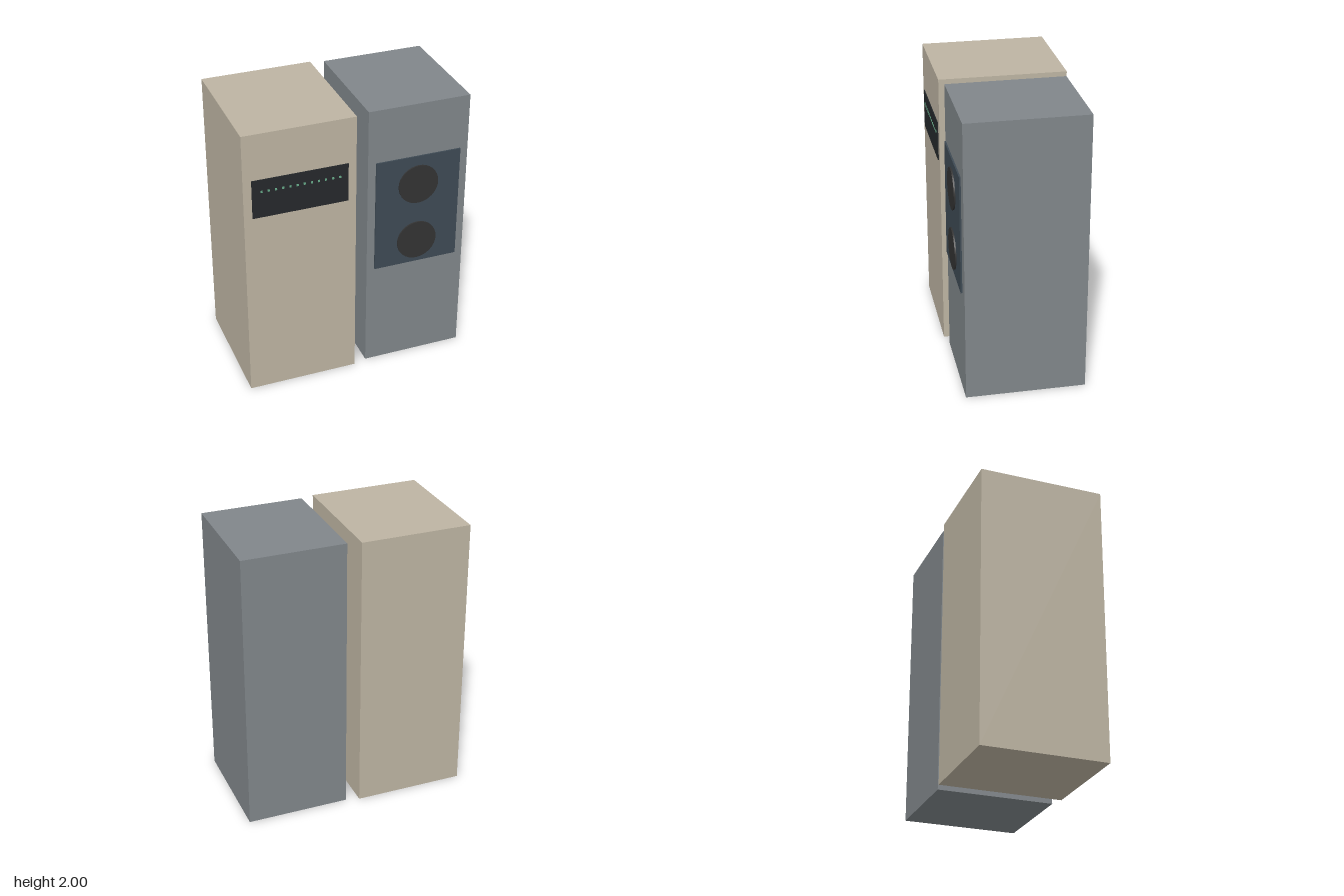
import * as THREE from 'three';

const mat = (color) => new THREE.MeshStandardMaterial({ color });

// Box given by its min and max on each axis
function box(name, material, [x0, x1], [y0, y1], [z0, z1]) {
  const mesh = new THREE.Mesh(new THREE.BoxGeometry(x1 - x0, y1 - y0, z1 - z0), material);
  mesh.position.set((x0 + x1) / 2, (y0 + y1) / 2, (z0 + z1) / 2);
  mesh.name = name;
  return mesh;
}

export function createModel() {
  const model = new THREE.Group();
  model.name = 'computerCabinets';

  // Processor cabinet with indicator panel
  const processor = new THREE.Group();
  processor.name = 'processorCabinet';
  processor.add(
    box('processorBody', mat(0xbdb4a2), [-0.8, -0.02], [0, 2], [-0.448, 0.437]),
    box('indicatorPanel', mat(0x25282b), [-0.742, -0.077], [1.39, 1.67], [0.433, 0.443])
  );

  // Row of indicator lights
  const lightMat = mat(0x66aa88);
  for (let i = 0; i < 12; i++) {
    const x = -0.677 + i * 0.049;
    processor.add(box('indicatorLight', lightMat, [x - 0.007, x + 0.007], [1.576, 1.59], [0.442, 0.448]));
  }

  // Tape cabinet with recessed-colour deck plate
  const tape = new THREE.Group();
  tape.name = 'tapeCabinet';
  tape.add(
    box('tapeBody', mat(0x80868a), [0.073, 0.797], [0, 2], [-0.423, 0.41]),
    box('tapeDeck', mat(0x3e4a54), [0.127, 0.738], [0.78, 1.615], [0.415, 0.426])
  );

  // Two tape reels
  const reelGeo = new THREE.CylinderGeometry(0.144, 0.144, 0.013, 32).rotateX(Math.PI / 2);
  const reelMat = mat(0x333333);
  for (const y of [1.403, 0.959]) {
    const reel = new THREE.Mesh(reelGeo, reelMat);
    reel.name = 'tapeReel';
    reel.position.set(0.434, y, 0.43);
    tape.add(reel);
  }

  model.add(processor, tape);
  return model;
}
